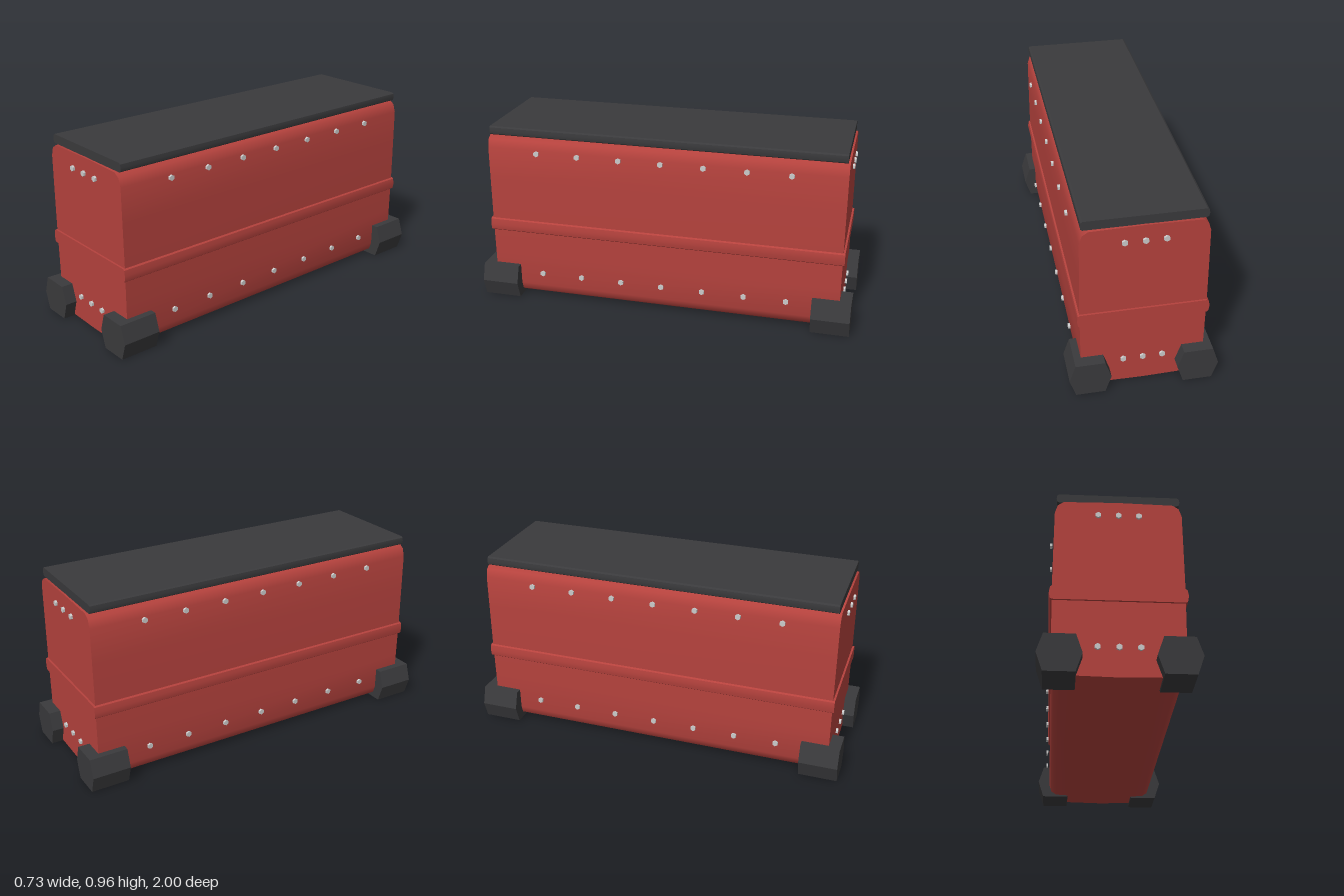
import * as THREE from 'three';
import { toCreasedNormals } from 'three/addons/utils/BufferGeometryUtils.js';

const red = new THREE.MeshStandardMaterial({ color: 0xb5423d });
const dark = new THREE.MeshStandardMaterial({ color: 0x3a3a3c });
const grey = new THREE.MeshStandardMaterial({ color: 0xcccccc });

// Extrude a symmetric outline, given as its +x half from bottom to top, along z
function prism(half, length, crease) {
  const mirrored = half.filter(([x]) => x > 0).reverse().map(([x, y]) => [-x, y]);
  const shape = new THREE.Shape([...half, ...mirrored].map(([x, y]) => new THREE.Vector2(x, y)));
  const geo = new THREE.ExtrudeGeometry(shape, { depth: length, bevelEnabled: false });
  geo.translate(0, 0, -length / 2);
  return toCreasedNormals(geo, crease);
}

export function createModel() {
  const model = new THREE.Group();
  const add = (name, geo, mat, x = 0, y = 0, z = 0) => {
    const mesh = new THREE.Mesh(geo, mat);
    mesh.name = name;
    mesh.position.set(x, y, z);
    model.add(mesh);
    return mesh;
  };

  // Softly bulged case with rounded long edges
  add('caseBody', prism([
    [0, 0.004], [0.19, 0.008], [0.26, 0.012], [0.288, 0.03], [0.301, 0.07],
    [0.303, 0.25], [0.305, 0.46], [0.303, 0.67],
    [0.301, 0.85], [0.288, 0.892], [0.26, 0.912], [0, 0.917],
  ], 1.88, 0.8), red);

  // Raised band around the middle
  add('middleBand', prism([
    [0, 0.38], [0.305, 0.38], [0.313, 0.386], [0.318, 0.415], [0.313, 0.444], [0.305, 0.45], [0, 0.45],
  ], 1.9, 0.4), red);

  // Lid pad
  add('lid', prism([
    [0, 0.916], [0.282, 0.916], [0.291, 0.922], [0.294, 0.939], [0.291, 0.956], [0.282, 0.962], [0, 0.962],
  ], 1.86, 0.4), dark);

  // Hexagonal corner feet
  const foot = prism([[0.072, -0.091], [0.102, 0], [0.072, 0.091]], 0.2, 0.3);
  for (const x of [-0.265, 0.265])
    for (const z of [-0.9, 0.9]) add('foot', foot, dark, x, 0.091, z);

  // Bolt rows on the ends and the long sides
  const bolt = new THREE.CylinderGeometry(0.015, 0.015, 0.011, 6).toNonIndexed().rotateX(Math.PI / 2);
  bolt.computeVertexNormals();
  for (const y of [0.147, 0.838])
    for (const side of [-1, 1]) {
      for (let i = -1; i <= 1; i++) add('endBolt', bolt, grey, i * 0.096, y, side * 0.949);
      for (let i = -3; i <= 3; i++)
        add('sideBolt', bolt, grey, side * 0.3165, y, i * 0.222).rotation.y = Math.PI / 2;
    }

  return model;
}
